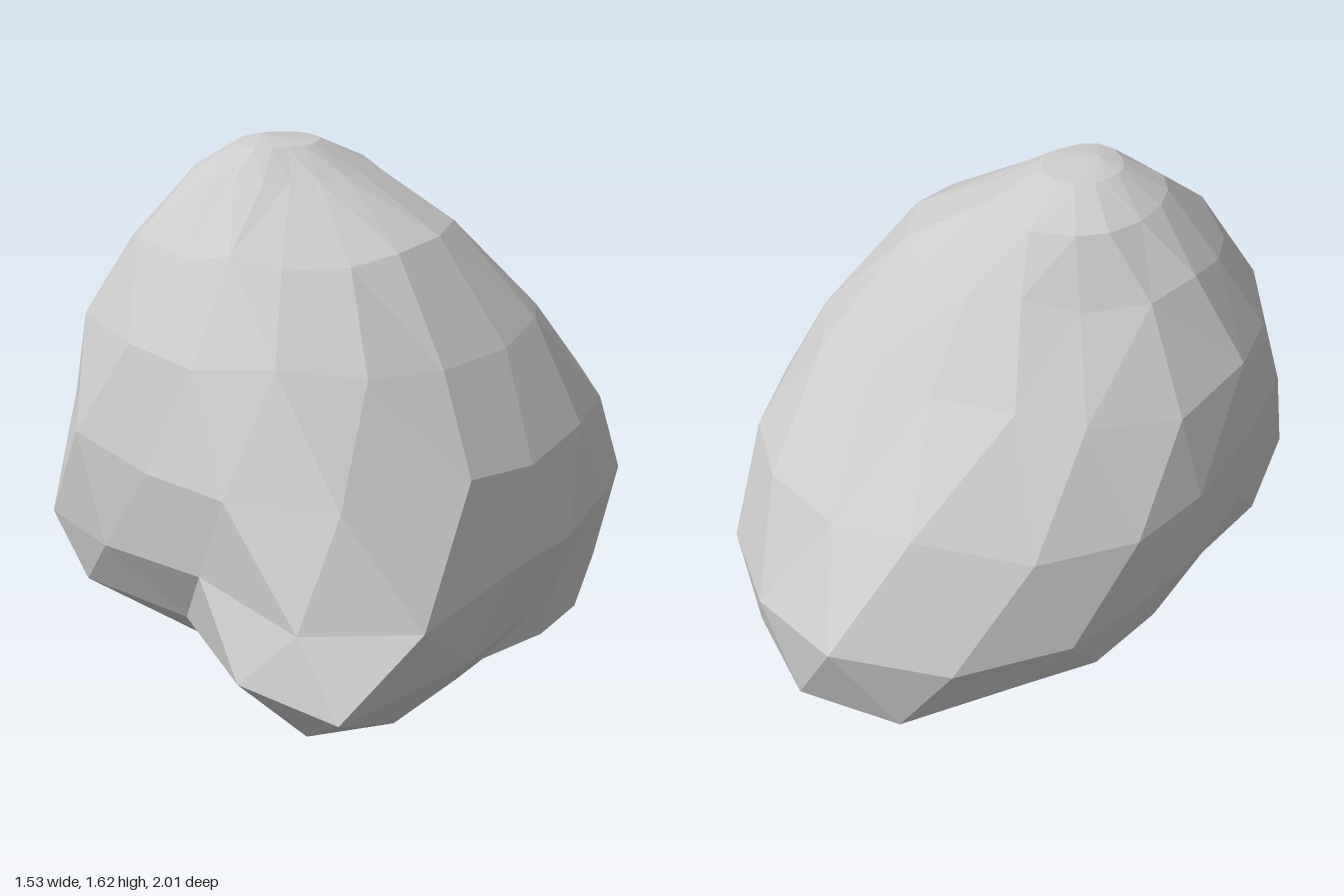
import * as THREE from 'three';

// Horizontal sections of the boulder, bottom to top: height, centre, sideways
// tilt and radii at equal angles, running from +x through +z (front), -x and -z.
const underside = [0.48, 0.52, 0.68, 0.8, 0.58, 0.52, 0.62, 0.57, 0.57, 0.58, 0.64, 0.72, 0.79, 0.74, 0.73, 0.58];
const sections = [
  { y: 0.05, cx: 0.08, cz: 0.1, tilt: -0.08, r: underside.map((r) => r * 0.6) },
  { y: 0.11, cx: 0.05, cz: 0.1, tilt: -0.1, r: underside },
  { y: 0.25, cx: 0, cz: 0, tilt: -0.04, r: [0.64, 0.69, 1.0, 1.24, 0.75, 0.77, 0.93, 0.7, 0.64, 0.66, 0.71, 0.81, 0.97, 0.88, 0.81, 0.68] },
  { y: 0.48, cx: 0, cz: 0, tilt: 0, r: [0.76, 0.81, 1.05, 1.04, 0.86, 0.89, 0.98, 0.78, 0.72, 0.75, 0.81, 0.9, 1.0, 0.92, 0.86, 0.76] },
  { y: 0.78, cx: 0, cz: 0, tilt: 0, r: [0.72, 0.75, 0.89, 0.95, 0.87, 0.89, 0.96, 0.81, 0.77, 0.78, 0.78, 0.77, 0.77, 0.77, 0.78, 0.72] },
  { y: 1.08, cx: -0.05, cz: 0.1, tilt: 0, r: [0.61, 0.62, 0.66, 0.68, 0.67, 0.7, 0.74, 0.72, 0.7, 0.69, 0.64, 0.58, 0.56, 0.58, 0.65, 0.63] },
  { y: 1.34, cx: -0.13, cz: 0.17, tilt: 0, r: [0.47, 0.45, 0.44, 0.43, 0.42, 0.45, 0.5, 0.48, 0.47, 0.47, 0.44, 0.43, 0.43, 0.45, 0.48, 0.48] },
  { y: 1.52, cx: -0.18, cz: 0.17, tilt: 0, r: [0.24, 0.22, 0.2, 0.21, 0.22, 0.24, 0.26, 0.26, 0.26, 0.27, 0.29, 0.3, 0.31, 0.3, 0.28, 0.25] },
  { y: 1.6, cx: -0.2, cz: 0.17, tilt: 0, r: [0.13, 0.12, 0.12, 0.13, 0.13, 0.12, 0.11, 0.11, 0.11, 0.11, 0.12, 0.13, 0.14, 0.14, 0.14, 0.13] },
];
const SIDES = 16;

// Small seeded generator, -1 to 1
function makeNoise(seed) {
  return () => {
    seed = (seed * 16807) % 2147483647;
    return (seed / 2147483647) * 2 - 1;
  };
}

// One ring of corners along its section; every other ring is turned half a
// step and all corners are nudged a little, so the facets look chipped
function ringPoints({ y, cx, cz, tilt, r }, level, noise) {
  const outline = new THREE.CatmullRomCurve3(
    r.map((radius, i) => {
      const a = (i / SIDES) * Math.PI * 2;
      const x = cx + radius * Math.cos(a);
      return new THREE.Vector3(x, y + tilt * x, cz + radius * Math.sin(a));
    }),
    true
  );
  const turn = level % 2 === 0 ? 0.5 : 0;
  const wobble = y > 0.2 && y < 1.4 ? 0.03 : 0;
  return r.map((_, i) => {
    const t = (i + turn + noise() * 0.14 + SIDES) / SIDES;
    const point = outline.getPoint(t % 1);
    point.y += noise() * wobble;
    return point;
  });
}

function boulderGeometry() {
  const noise = makeNoise(4217);
  const rings = sections.map((s, level) => ringPoints(s, level, noise));
  const top = rings[rings.length - 1];
  const base = new THREE.Vector3(0.13, 0, 0.33);
  const peak = new THREE.Vector3(-0.23, 1.62, 0.19);
  const corners = [];
  const tri = (...points) => points.forEach((p) => corners.push(p.x, p.y, p.z));

  for (let i = 0; i < SIDES; i++) {
    const n = (i + 1) % SIDES;
    tri(base, rings[0][i], rings[0][n]);
    for (let k = 0; k < rings.length - 1; k++) {
      const a = rings[k][i], b = rings[k][n], c = rings[k + 1][n], d = rings[k + 1][i];
      // split each patch along its shorter diagonal
      if (a.distanceTo(c) < b.distanceTo(d)) {
        tri(a, d, c);
        tri(a, c, b);
      } else {
        tri(a, d, b);
        tri(b, d, c);
      }
    }
    tri(top[i], peak, top[n]);
  }

  const geometry = new THREE.BufferGeometry();
  geometry.setAttribute('position', new THREE.Float32BufferAttribute(corners, 3));
  geometry.computeVertexNormals();
  return geometry;
}

export function createModel() {
  const group = new THREE.Group();
  group.name = 'rock';
  const material = new THREE.MeshStandardMaterial({ color: 0xcccccc, flatShading: true });
  const boulder = new THREE.Mesh(boulderGeometry(), material);
  boulder.name = 'boulder';
  group.add(boulder);
  return group;
}
